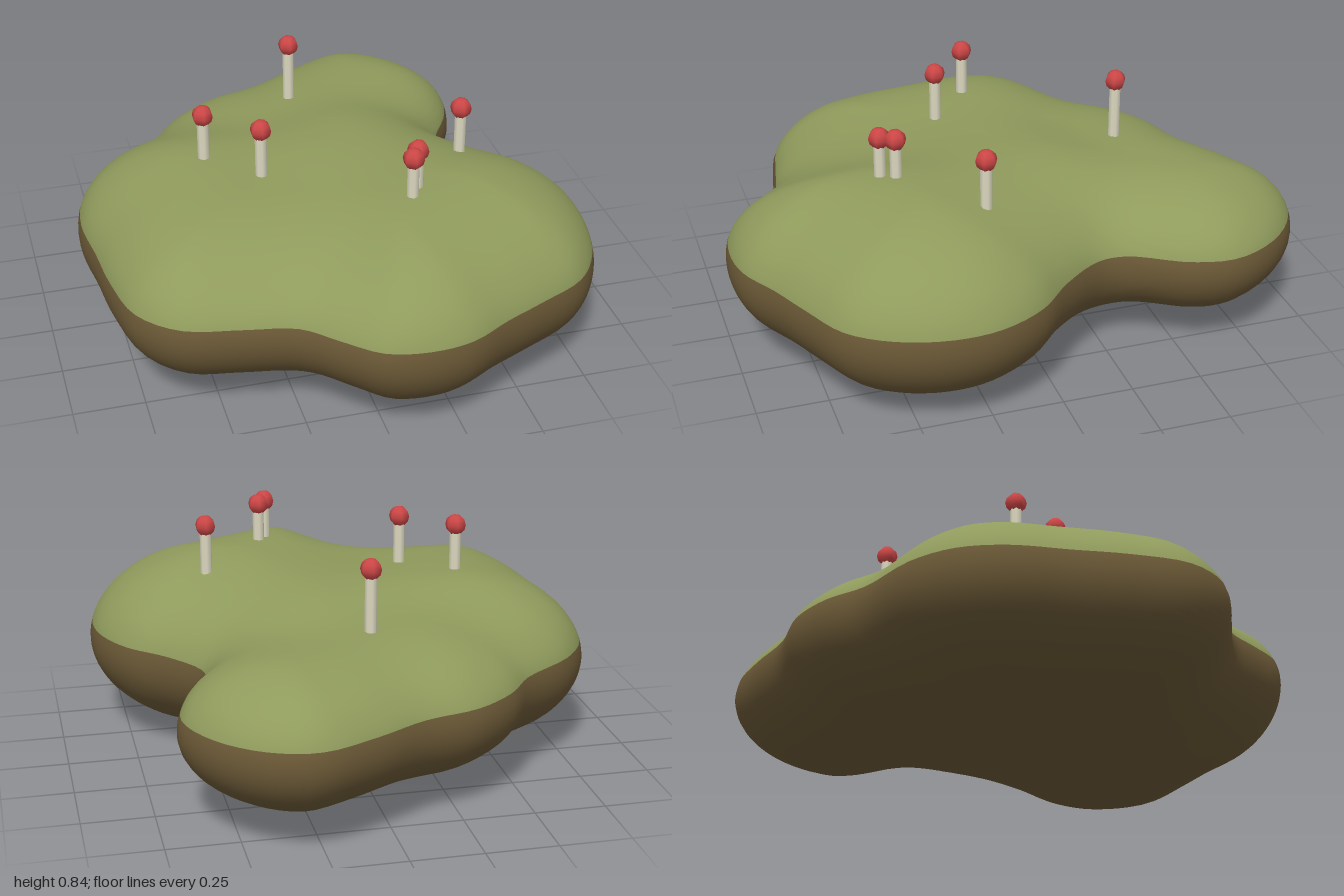
import * as THREE from 'three';

const grass = new THREE.MeshStandardMaterial({ name: 'grass', color: 0x8f9a5c });
const soil = new THREE.MeshStandardMaterial({ name: 'soil', color: 0x6a5836 });
const ivory = new THREE.MeshStandardMaterial({ name: 'ivory', color: 0xdcd8c0 });
const red = new THREE.MeshStandardMaterial({ name: 'red', color: 0xcc4646 });

const EQUATOR = 0.34, GRASS_LINE = 0.4, SEGMENTS = 132;

// Plan outline of the island, x and z
const outline = [
  [0.28, -1.0], [0.45, -0.96], [0.6, -0.83], [0.68, -0.65], [0.65, -0.48], [0.55, -0.3],
  [0.55, -0.2], [0.65, -0.05], [0.78, 0.08], [0.86, 0.25], [0.87, 0.42], [0.82, 0.6],
  [0.72, 0.74], [0.55, 0.83], [0.4, 0.9], [0.25, 0.98], [0.1, 1.0], [-0.05, 0.97],
  [-0.17, 0.87], [-0.28, 0.77], [-0.45, 0.73], [-0.65, 0.68], [-0.78, 0.55], [-0.83, 0.35],
  [-0.85, 0.15], [-0.87, -0.05], [-0.84, -0.22], [-0.74, -0.37], [-0.55, -0.52],
  [-0.45, -0.65], [-0.3, -0.76], [-0.1, -0.82], [0.08, -0.92],
];
const curve = new THREE.CatmullRomCurve3(outline.map(([x, z]) => new THREE.Vector3(x, 0, z)), true);
const rims = Array.from({ length: SEGMENTS }, (_, j) => curve.getPoint(j / SEGMENTS));

// Lobes and dips: x, z, crown height, underside height, edge rounding
const lobes = [
  [0.36, 0.42, 0.677, 0.0, 0.57], [-0.48, 0.08, 0.65, 0.03, 0.5], [0.27, -0.68, 0.583, 0.09, 0.37],
  [0.05, 0.02, 0.655, 0.02, 0.5], [-0.22, 0.32, 0.61, 0.05, 0.5], [-0.15, -0.42, 0.585, 0.07, 0.42],
];

// Smooth blend of the lobe values
function blend(x, z) {
  let total = 0;
  const sums = [0, 0, 0];
  for (const [lx, lz, ...values] of lobes) {
    const w = Math.exp(-((x - lx) ** 2 + (z - lz) ** 2) / 0.075);
    values.forEach((v, i) => { sums[i] += w * v; });
    total += w;
  }
  return sums.map((v) => v / total);
}

// Distance in plan from a point to the outline
function rimDistance(x, z) {
  let best = Infinity;
  for (let j = 0; j < SEGMENTS; j++) {
    const a = rims[j], b = rims[(j + 1) % SEGMENTS];
    const dx = b.x - a.x, dz = b.z - a.z;
    const t = THREE.MathUtils.clamp(((x - a.x) * dx + (z - a.z) * dz) / (dx * dx + dz * dz), 0, 1);
    best = Math.min(best, Math.hypot(x - a.x - t * dx, z - a.z - t * dz));
  }
  return best;
}

// Point on the island: rim point and angle from crown (0) to underside (PI)
function surfacePoint(rim, phi) {
  const s = Math.sin(phi) ** 0.8;
  const x = rim.x * s, z = rim.z * s;
  const [crown, underside, rounding] = blend(x, z);
  const t = Math.min(1, rimDistance(x, z) / rounding);
  const end = phi < Math.PI / 2 ? crown : underside;
  return [x, EQUATOR + (end - EQUATOR) * Math.sqrt(1 - (1 - t) ** 2), z];
}

// Angle at which the section crosses the grass line
function grassAngle(rim) {
  let low = Math.PI / 4, high = Math.PI / 2;
  for (let i = 0; i < 24; i++) {
    const mid = (low + high) / 2;
    if (surfacePoint(rim, mid)[1] > GRASS_LINE) low = mid;
    else high = mid;
  }
  return low;
}

function islandGeometry() {
  const N = SEGMENTS, TOP = 26, BOTTOM = 30;
  const edges = rims.map(grassAngle);
  const positions = [], index = [];
  for (let i = 0; i <= TOP + BOTTOM; i++) {
    for (let j = 0; j < N; j++) {
      const phi = i <= TOP
        ? edges[j] * i / TOP
        : edges[j] + (Math.PI - edges[j]) * (i - TOP) / BOTTOM;
      positions.push(...surfacePoint(rims[j], phi));
    }
  }
  for (let i = 0; i < TOP + BOTTOM; i++) {
    for (let j = 0; j < N; j++) {
      const k = (j + 1) % N;
      const a = i * N + j, b = i * N + k, c = a + N, d = b + N;
      index.push(a, b, c, b, d, c);
    }
  }
  const geometry = new THREE.BufferGeometry();
  geometry.setAttribute('position', new THREE.Float32BufferAttribute(positions, 3));
  geometry.setIndex(index);
  geometry.computeVertexNormals();
  geometry.addGroup(0, TOP * N * 6, 0);
  geometry.addGroup(TOP * N * 6, BOTTOM * N * 6, 1);
  return geometry;
}

export function createModel() {
  const model = new THREE.Group();
  model.name = 'floatingIsland';

  const island = new THREE.Mesh(islandGeometry(), [grass, soil]);
  island.name = 'island';
  model.add(island);

  // Marker pins: ivory stem with a low-poly red head
  const stemGeometry = new THREE.CylinderGeometry(0.021, 0.021, 0.24, 8);
  const headGeometry = new THREE.SphereGeometry(0.038, 6, 6).rotateY(Math.PI / 6);
  const pins = [[0, -0.45], [-0.42, 0], [-0.25, 0.152], [0.46, 0.18], [0.225, 0.425], [0.194, 0.473]];
  for (const [x, z] of pins) {
    const pin = new THREE.Group();
    pin.name = 'pin';
    pin.position.set(x, 0, z);
    const stem = new THREE.Mesh(stemGeometry, ivory);
    stem.name = 'pinStem';
    stem.position.y = 0.67;
    const head = new THREE.Mesh(headGeometry, red);
    head.name = 'pinHead';
    head.position.y = 0.805;
    pin.add(stem, head);
    model.add(pin);
  }
  return model;
}
